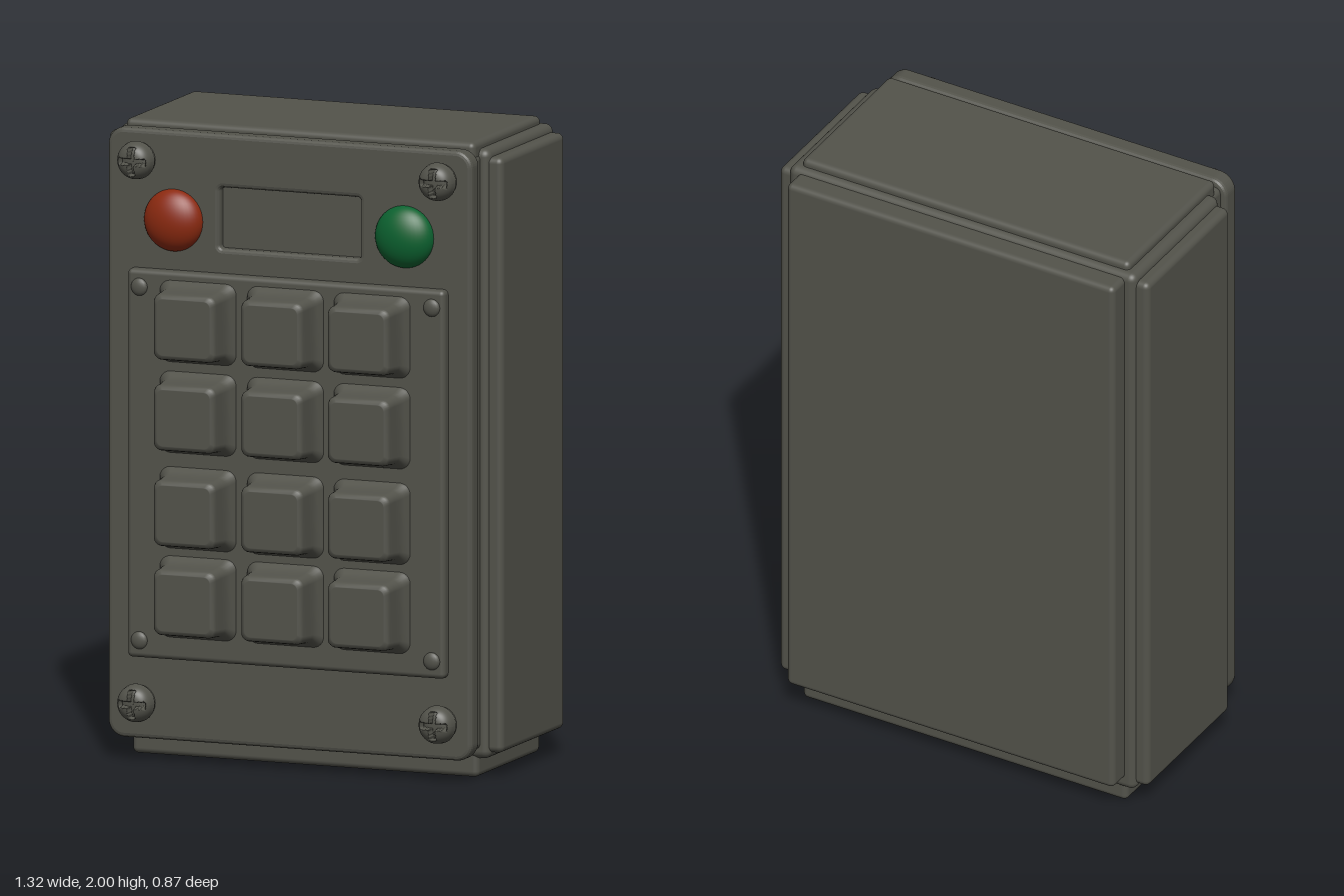
import * as THREE from 'three';
import { RoundedBoxGeometry } from 'three/addons/geometries/RoundedBoxGeometry.js';

const mat = (name, color) => {
  const m = new THREE.MeshStandardMaterial({ color });
  m.name = name;
  return m;
};

// Rounded rectangle centred on (cx, cy)
function roundedRect(target, cx, cy, w, h, r) {
  const x = w / 2 - r, y = h / 2 - r;
  target.absarc(cx + x, cy + y, r, 0, Math.PI / 2);
  target.absarc(cx - x, cy + y, r, Math.PI / 2, Math.PI);
  target.absarc(cx - x, cy - y, r, Math.PI, Math.PI * 1.5);
  target.absarc(cx + x, cy - y, r, Math.PI * 1.5, Math.PI * 2);
  target.closePath();
  return target;
}

// Loft of rounded-square rings [halfWidth, z, cornerRadius], capped at the front
function loftSquare(rings) {
  const pos = [], index = [], seg = 6, n = 4 * (seg + 1);
  for (const [half, z, r] of rings) {
    for (let c = 0; c < 4; c++) {
      const sx = c === 0 || c === 3 ? 1 : -1, sy = c < 2 ? 1 : -1;
      for (let i = 0; i <= seg; i++) {
        const a = (c + i / seg) * Math.PI / 2;
        pos.push(sx * (half - r) + r * Math.cos(a), sy * (half - r) + r * Math.sin(a), z);
      }
    }
  }
  for (let k = 0; k < rings.length - 1; k++) {
    for (let i = 0; i < n; i++) {
      const a = k * n + i, b = k * n + (i + 1) % n;
      index.push(a, b, b + n, a, b + n, a + n);
    }
  }
  const last = (rings.length - 1) * n, centre = pos.length / 3;
  pos.push(0, 0, rings[rings.length - 1][1]);
  for (let i = 0; i < n; i++) index.push(last + i, last + (i + 1) % n, centre);
  const g = new THREE.BufferGeometry();
  g.setAttribute('position', new THREE.Float32BufferAttribute(pos, 3));
  g.setIndex(index);
  g.computeVertexNormals();
  return g;
}

// Domed screw head with a sunken cross
function screwGeometry(radius, height) {
  const g = new THREE.RingGeometry(0.0005, radius, 64, 20);
  const p = g.attributes.position;
  for (let i = 0; i < p.count; i++) {
    const x = p.getX(i), y = p.getY(i), r = Math.hypot(x, y) / radius;
    let z = height * Math.sqrt(Math.max(0, 1 - r ** 3));
    if (Math.min(Math.abs(x), Math.abs(y)) < 0.009 && r < 0.75) z -= 0.025;
    p.setZ(i, z);
  }
  g.computeVertexNormals();
  return g;
}

export function createModel() {
  const model = new THREE.Group();
  model.name = 'keypadBox';
  const grey = mat('warm dark grey', 0x53534b);
  const red = mat('lamp red', 0x8c2a10);
  const green = mat('lamp green', 0x0c6230);

  const add = (name, geometry, material, x = 0, y = 0, z = 0) => {
    const m = new THREE.Mesh(geometry, material);
    m.name = name;
    m.position.set(x, y, z);
    model.add(m);
    return m;
  };
  // Rounded block given by its limits
  const block = (name, x0, x1, y0, y1, z0, z1, r) => add(name,
    new RoundedBoxGeometry(x1 - x0, y1 - y0, z1 - z0, 4, r), grey,
    (x0 + x1) / 2, (y0 + y1) / 2, (z0 + z1) / 2);

  // Housing: a core with a raised slab on each side
  block('core', -0.62, 0.62, 0.06, 1.975, -0.365, 0.165, 0.025);
  block('neck', -0.59, 0.59, 0.09, 1.96, 0.1, 0.24, 0.02);
  block('topSlab', -0.585, 0.585, 1.8, 2.0, -0.34, 0.2, 0.018);
  block('bottomSlab', -0.58, 0.58, 0, 0.2, -0.345, 0.16, 0.018);
  block('backSlab', -0.585, 0.585, 0.1, 1.96, -0.435, -0.3, 0.018);
  block('leftSlab', 0.5, 0.66, 0.08, 1.95, -0.35, 0.155, 0.02);
  block('rightSlab', -0.66, -0.5, 0.08, 1.95, -0.35, 0.155, 0.02);

  // Front panel with a cut-out for the display
  const bevel = 0.014;
  const panel = roundedRect(new THREE.Shape(), 0, 1.028, 1.22 - 2 * bevel, 1.915 - 2 * bevel, 0.04);
  panel.holes.push(roundedRect(new THREE.Path(), 0, 1.722, 0.5, 0.22, 0.025));
  add('frontPanel', new THREE.ExtrudeGeometry(panel, {
    depth: 0.065 - 2 * bevel, bevelEnabled: true, bevelSize: bevel,
    bevelThickness: bevel, bevelSegments: 3, curveSegments: 6,
  }), grey, 0, 0, 0.217 + bevel);
  block('displayFloor', -0.3, 0.3, 1.57, 1.87, 0.22, 0.252, 0.005);

  // Keypad plate with a small stud in each corner
  block('keypadPlate', -0.532, 0.532, 0.33, 1.55, 0.25, 0.315, 0.016);
  const stud = new THREE.SphereGeometry(0.028, 16, 10);
  stud.scale(1, 1, 0.5);
  for (const x of [-0.49, 0.49])
    for (const y of [0.385, 1.495]) add('plateStud', stud, grey, x, y, 0.314);

  // Keys with flared feet
  const key = loftSquare([
    [0.13, 0.31, 0.035], [0.125, 0.322, 0.035], [0.115, 0.335, 0.03], [0.109, 0.355, 0.028],
    [0.106, 0.385, 0.026], [0.104, 0.418, 0.026], [0.1, 0.43, 0.024], [0.09, 0.435, 0.02],
    [0.088, 0.435, 0.02],
  ]);
  for (const y of [1.395, 1.11, 0.81, 0.53])
    for (const x of [-0.293, 0, 0.29]) add('key', key, grey, x, y, 0);

  // Signal lamps
  const lamp = new THREE.SphereGeometry(0.098, 40, 24);
  lamp.scale(1, 1, 0.62);
  add('redLamp', lamp, red, -0.388, 1.706, 0.278);
  add('greenLamp', lamp, green, 0.386, 1.706, 0.278);

  // Corner screws
  const head = screwGeometry(0.06, 0.052);
  const shank = new THREE.CylinderGeometry(0.06, 0.052, 0.03, 32, 1, true);
  shank.rotateX(Math.PI / 2);
  for (const x of [-0.505, 0.505]) {
    for (const y of [0.185, 1.89]) {
      add('screwHead', head, grey, x, y, 0.299);
      add('screwRim', shank, grey, x, y, 0.285);
    }
  }
  return model;
}
